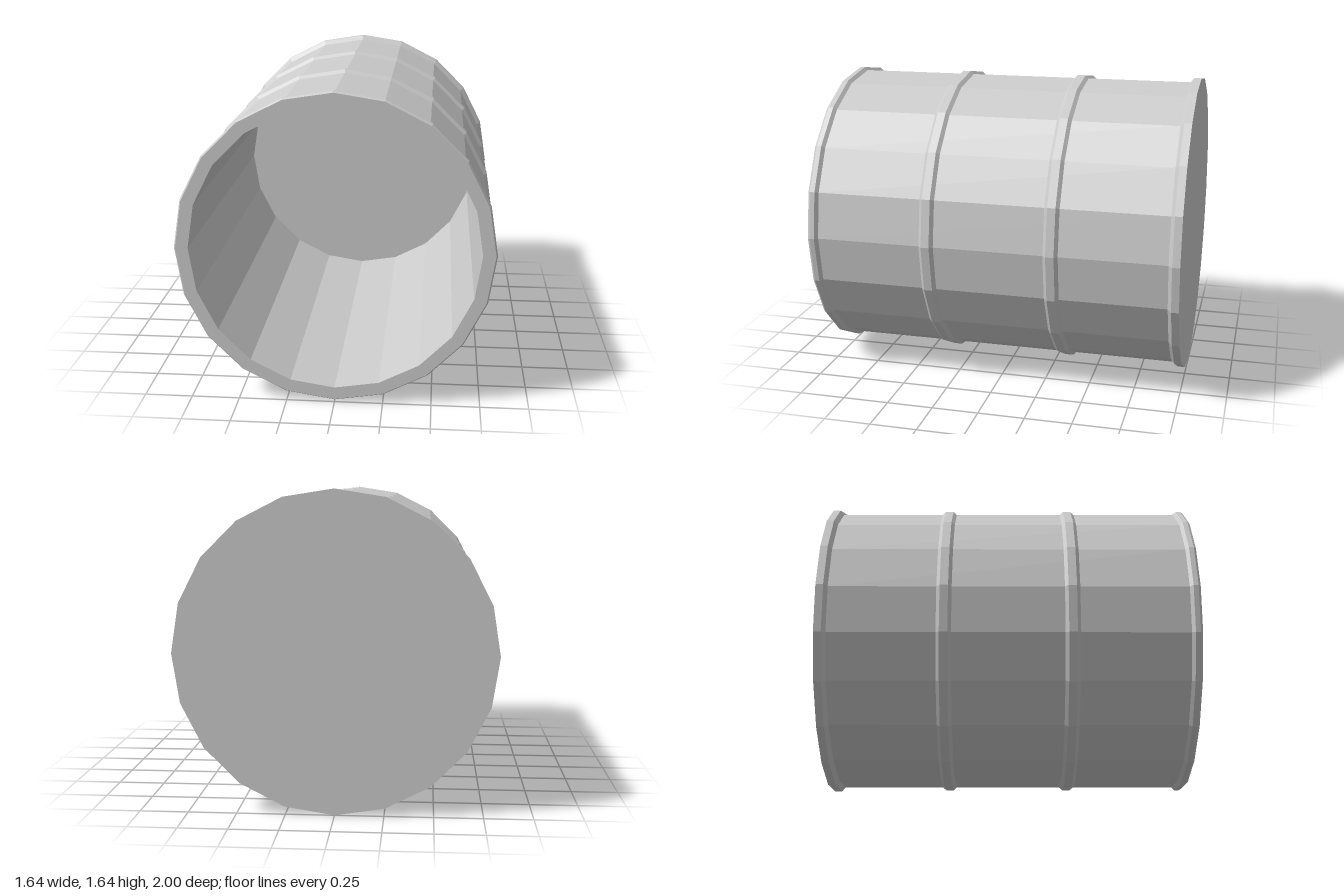
import * as THREE from 'three';

const SIDES = 20;
const CENTER_Y = 0.825;
const BODY_R = 0.796;

export function createModel() {
  const group = new THREE.Group();
  group.name = 'openBarrel';
  const material = new THREE.MeshStandardMaterial({ color: 0xcccccc, flatShading: true });

  // Turns a [radius, z] profile around the barrel's lying axis
  function turned(name, profile) {
    const points = profile.map(([r, z]) => new THREE.Vector2(r, z));
    const geometry = new THREE.LatheGeometry(points, SIDES);
    geometry.rotateX(Math.PI / 2);
    const mesh = new THREE.Mesh(geometry, material);
    mesh.name = name;
    mesh.position.y = CENTER_Y;
    group.add(mesh);
  }

  // Closed back with its flared rim
  turned('backLid', [[0, -1], [0.82, -1], [0.82, -0.96], [BODY_R, -0.94]]);

  // Straight outer wall
  turned('outerWall', [[BODY_R, -0.94], [BODY_R, 0.945]]);

  // Two raised hoops
  for (const [name, z] of [['backHoop', -0.335], ['frontHoop', 0.335]]) {
    turned(name, [
      [BODY_R, z - 0.04], [0.813, z - 0.022],
      [0.813, z + 0.022], [BODY_R, z + 0.04],
    ]);
  }

  // Bevelled rim around the open front
  turned('frontRim', [
    [BODY_R, 0.945], [0.813, 0.962], [0.813, 0.988], [0.805, 1], [0.74, 1],
  ]);

  // Inside wall and floor
  turned('innerWall', [[0.74, 1], [0.74, -0.95]]);
  turned('innerFloor', [[0.74, -0.95], [0, -0.95]]);

  return group;
}
